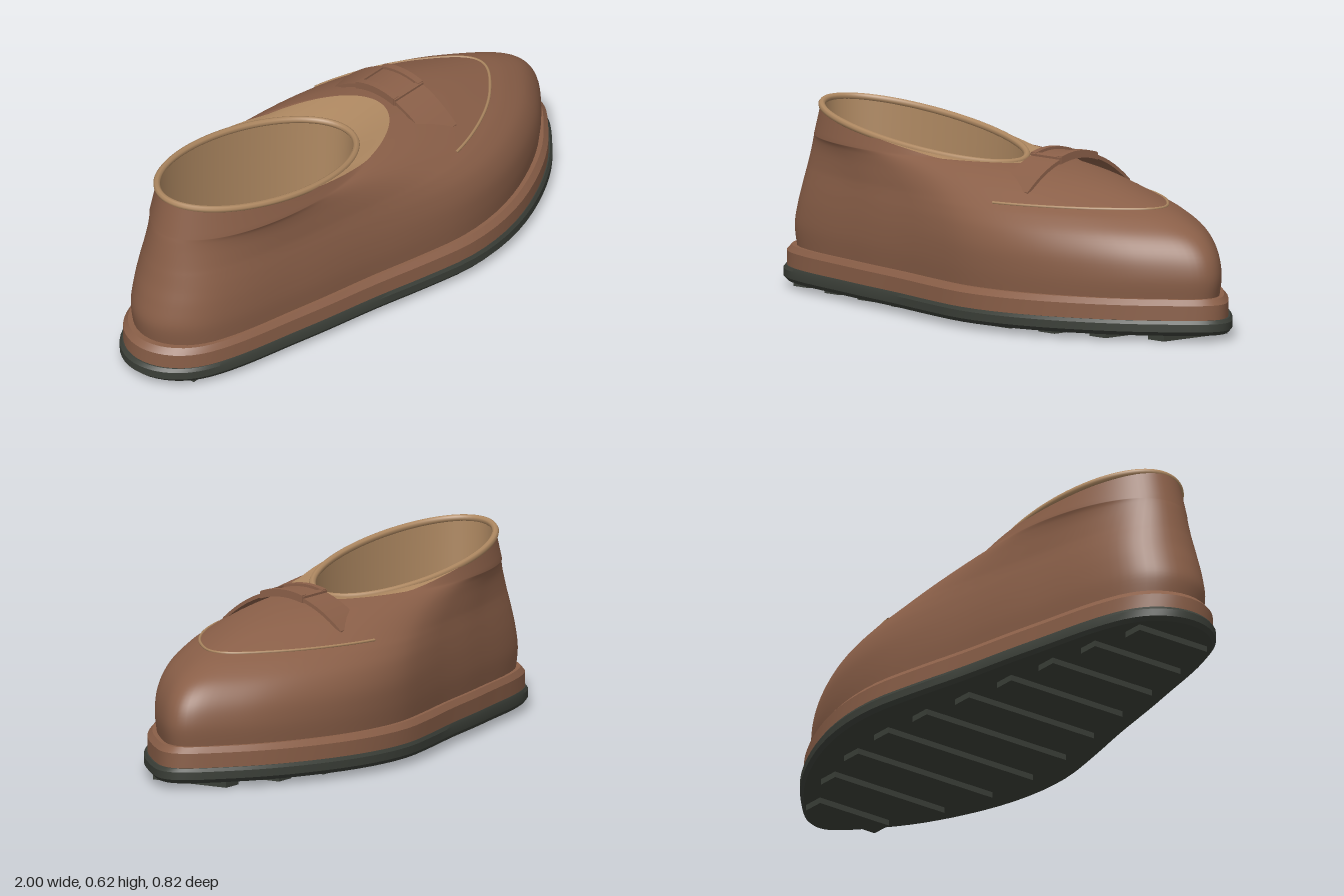
import * as THREE from 'three';
import { toCreasedNormals } from 'three/addons/utils/BufferGeometryUtils.js';

const SEG = 96;
const lerp = THREE.MathUtils.lerp;

// Smooth interpolation through rows of numbers, t in 0..rows-1
function spline(rows, t) {
  const last = rows.length - 1;
  const i = Math.min(Math.floor(t), last - 1), f = t - i;
  const at = k => rows[Math.max(0, Math.min(last, k))];
  return rows[0].map((_, c) => {
    const a = at(i - 1)[c], b = at(i)[c], d = at(i + 1)[c], e = at(i + 2)[c];
    return b + 0.5 * f * (d - a + f * (2 * a - 5 * b + 4 * d - e + f * (3 * (b - d) + e - a)));
  });
}

// Foot outline: fullness from heel to toe, relative to an ellipse
const fullness = [1, 0.84, 0.77, 0.78, 0.82, 0.91, 1.01, 1.04, 1, 0.89, 0.65].map(v => [v]);

// One point of a horizontal ring; round = 0 is the foot outline, 1 an ellipse
function ringPoint(a, y, xMin, xMax, w, round = 0) {
  const n = Math.cos(a);
  const g = lerp(spline(fullness, (n + 1) * 5)[0], 1, round);
  return new THREE.Vector3((xMin + xMax) / 2 + n * (xMax - xMin) / 2, y, w * Math.sin(a) * g);
}
const ring = fn => Array.from({ length: SEG }, (_, i) => fn(i / SEG * Math.PI * 2));
const outline = (y, xMin, xMax, w, round) => ring(a => ringPoint(a, y, xMin, xMax, w, round));

// Skin over rings listed from bottom to top, with optional flat caps
function loft(rings, capBottom = false, capTop = false) {
  const pos = rings.flat().flatMap(p => [p.x, p.y, p.z]);
  const idx = [];
  for (let k = 0; k < rings.length - 1; k++) {
    for (let i = 0; i < SEG; i++) {
      const j = (i + 1) % SEG;
      const a = k * SEG + i, b = k * SEG + j, c = a + SEG, d = b + SEG;
      idx.push(a, c, b, b, c, d);
    }
  }
  const cap = (k, up) => {
    const centre = pos.length / 3;
    pos.push(0, rings[k][0].y, 0);
    for (let i = 0; i < SEG; i++) {
      const a = k * SEG + i, b = k * SEG + (i + 1) % SEG;
      idx.push(centre, up ? b : a, up ? a : b);
    }
  };
  if (capBottom) cap(0, false);
  if (capTop) cap(rings.length - 1, true);
  const geo = new THREE.BufferGeometry();
  geo.setAttribute('position', new THREE.Float32BufferAttribute(pos, 3));
  geo.setIndex(idx);
  geo.computeVertexNormals();
  return geo;
}

// Upper body levels: y, heel x, toe x, half width, roundness
const levels = [
  [0.13, -0.945, 0.945, 0.375, 0],
  [0.2, -0.955, 0.955, 0.381, 0],
  [0.27, -0.94, 0.935, 0.38, 0],
  [0.33, -0.922, 0.88, 0.366, 0.05],
  [0.375, -0.91, 0.79, 0.343, 0.15],
  [0.405, -0.902, 0.695, 0.322, 0.28],
  [0.455, -0.89, 0.5, 0.287, 0.55],
  [0.488, -0.882, 0.32, 0.262, 0.8],
  [0.505, -0.877, 0.18, 0.248, 1],
];
const rimY = x => 0.615 - 0.15 * (x + 0.85);

// Sloping foot opening, and the top edge of the leather around it
const openingPoint = (a, grow = 0) => {
  const p = ringPoint(a, 0, -0.84 - grow, 0.01 + grow, 0.224 + grow, 1);
  p.y = rimY(p.x);
  return p;
};
const edgePoint = a => {
  const p = ringPoint(a, 0, -0.849, 0.18, 0.235, 1);
  p.y = Math.max(0.505, rimY(p.x));
  return p;
};

// Strip of the arched strap, running across z
const archY = z => 0.535 - 2.07 * z * z;
function archStrip(z0, z1, x0, x1, low, high) {
  const N = 20, top = [], bottom = [];
  for (let i = 0; i <= N; i++) {
    const z = lerp(z0, z1, i / N);
    top.push(new THREE.Vector2(z, archY(z) + high));
    bottom.push(new THREE.Vector2(z, archY(z) + low));
  }
  const geo = new THREE.ExtrudeGeometry(new THREE.Shape([...bottom, ...top.reverse()]),
    { depth: x1 - x0, bevelEnabled: false });
  geo.rotateY(-Math.PI / 2).translate(x1, 0, 0);
  return toCreasedNormals(geo, 0.6);
}

export function createModel() {
  const group = new THREE.Group();
  const material = (name, color, side = THREE.FrontSide) => {
    const m = new THREE.MeshStandardMaterial({ color, side });
    m.name = name;
    return m;
  };
  const leather = material('brown leather', 0x8a5f48, THREE.DoubleSide);
  const lining = material('tan lining', 0xae8861, THREE.DoubleSide);
  const rubber = material('dark rubber', 0x3b3f38);
  const add = (name, geo, mat, parent = group) => {
    const mesh = new THREE.Mesh(geo, mat);
    mesh.name = name;
    parent.add(mesh);
    return mesh;
  };

  // Sole, with tread bars beneath
  add('sole', toCreasedNormals(loft([
    outline(0.02, -0.985, 0.985, 0.403), outline(0.033, -1, 1, 0.415),
    outline(0.058, -1, 1, 0.415), outline(0.069, -0.99, 0.99, 0.408),
  ], true, true), 0.5), rubber);
  const treads = new THREE.Group();
  treads.name = 'treads';
  group.add(treads);
  for (let i = 0; i < 10; i++) {
    const x = -0.853 + i * 0.1875;
    const half = 0.73 * ringPoint(Math.acos(x), 0, -1, 1, 0.412).z;
    add('treadBar', new THREE.BoxGeometry(0.075, 0.022, half * 2).translate(x, 0.011, 0), rubber, treads);
  }

  // Welt between sole and upper
  add('welt', toCreasedNormals(loft([
    outline(0.068, -0.985, 0.982, 0.407), outline(0.117, -0.985, 0.982, 0.407),
    outline(0.136, -0.967, 0.964, 0.39),
  ], false, true), 0.4), leather);

  // Upper: stacked levels, then up to the sloping edge at the heel
  const rings = [];
  for (let i = 0; i <= 40; i++) rings.push(outline(...spline(levels, i / 40 * (levels.length - 1))));
  const shoulder = rings[rings.length - 1];
  const edge = ring(edgePoint);
  for (let i = 1; i <= 5; i++) rings.push(shoulder.map((p, k) => p.clone().lerp(edge[k], i / 5)));
  add('upper', loft(rings), leather);

  // Tan tongue between leather edge and opening
  add('tongue', loft([edge, ring(a => openingPoint(a))]), lining);

  // Inside lining and insole
  const inside = [0, 0.35, 0.7, 1].map(t => ring(a => {
    const p = openingPoint(a, -0.006 - 0.01 * t);
    p.y = lerp(p.y, 0.15, t);
    return p;
  }));
  add('insideLining', loft(inside), lining);
  add('insole', loft([outline(0.15, -0.835, 0.005, 0.217, 1)], false, true), lining);

  // Rolled collar around the opening
  const collar = new THREE.CatmullRomCurve3(ring(a => openingPoint(a)), true);
  add('collar', new THREE.TubeGeometry(collar, 128, 0.0115, 8, true), lining);

  // Curved stitched seam on the toe
  const seamPts = [];
  for (let i = -20; i <= 20; i++) seamPts.push(ringPoint(i / 20 * 1.14, ...levels[5]));
  add('toeSeam', new THREE.TubeGeometry(new THREE.CatmullRomCurve3(seamPts), 80, 0.005, 6), lining);

  // Arched strap with a raised frame at its centre
  const strap = new THREE.Group();
  strap.name = 'strap';
  group.add(strap);
  add('strapBand', archStrip(-0.228, 0.228, 0.18, 0.318, 0, 0.013), leather, strap);
  for (const [x0, x1] of [[0.176, 0.2], [0.298, 0.322]]) {
    add('frameRail', archStrip(-0.08, 0.08, x0, x1, -0.003, 0.022), leather, strap);
  }
  for (const s of [-1, 1]) {
    add('frameBar', archStrip(s * 0.077 - 0.007, s * 0.077 + 0.007, 0.178, 0.32, -0.002, 0.02), leather, strap);
  }
  return group;
}
